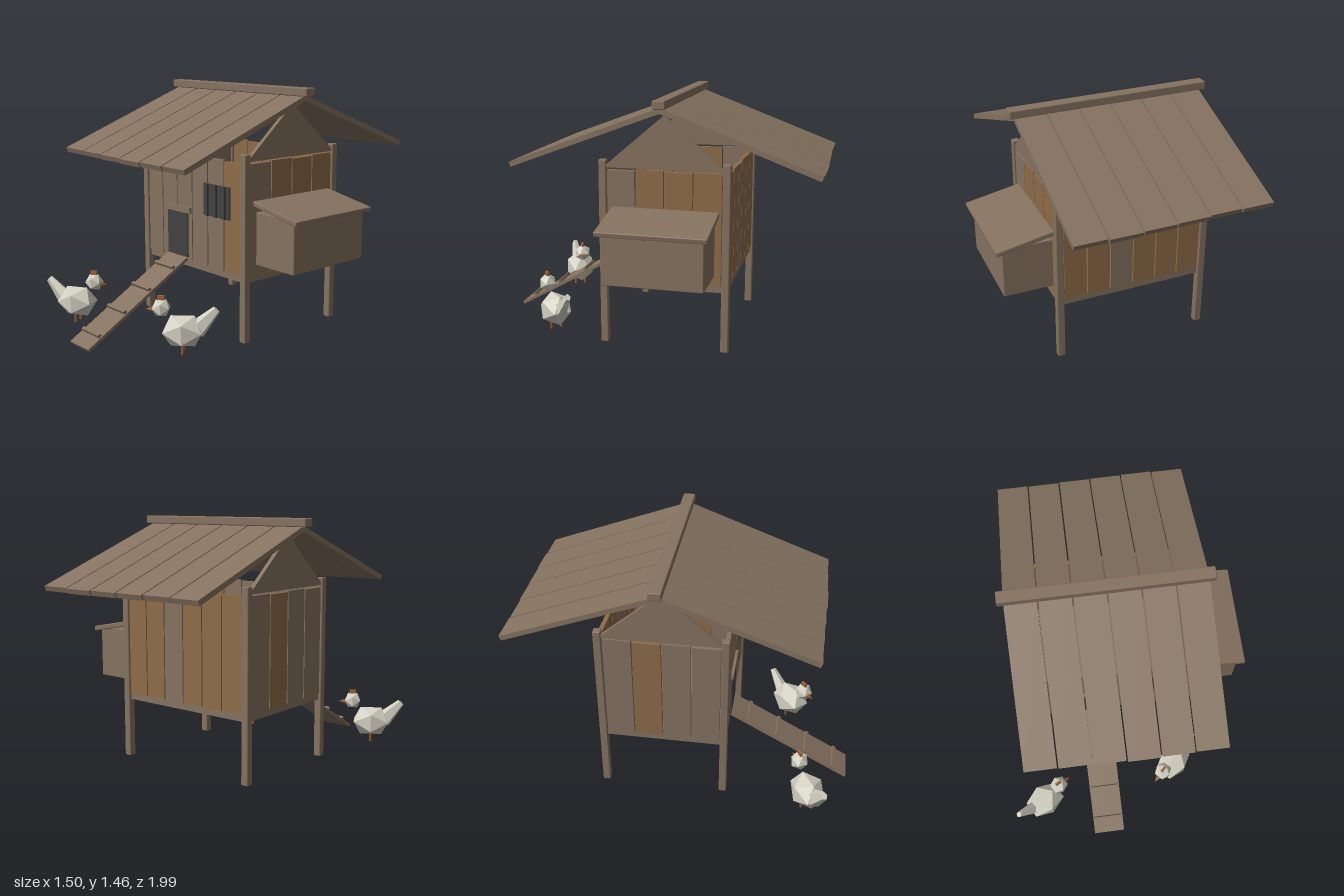
import * as THREE from 'three';
import { RoundedBoxGeometry } from 'three/addons/geometries/RoundedBoxGeometry.js';

const mat = (name, color) => {
  const m = new THREE.MeshStandardMaterial({ color });
  m.name = name;
  return m;
};

export function createModel() {
  const wood = mat('weathered wood', 0x857260);
  const tan = mat('tan wood', 0x8e6c48);
  const dark = mat('dark opening', 0x414141);
  const feather = mat('feathers', 0xd3d0c2);
  const orange = mat('beak and legs', 0x9a6238);

  const root = new THREE.Group();
  root.name = 'henHouse';
  const group = (name, parent = root) => {
    const g = new THREE.Group();
    g.name = name;
    parent.add(g);
    return g;
  };
  const add = (parent, name, geo, material, x = 0, y = 0, z = 0) => {
    const m = new THREE.Mesh(geo, material);
    m.name = name;
    m.position.set(x, y, z);
    parent.add(m);
    return m;
  };
  const box = (w, h, d) => new THREE.BoxGeometry(w, h, d);
  const bevelBox = (w, h, d) => new RoundedBoxGeometry(w, h, d, 1, 0.006);

  const CX = -0.05, CZ = -0.1;      // centre of the house
  const HX = 0.453, HZ = 0.358;     // half distances between posts

  // Corner posts
  for (const sx of [-1, 1]) for (const sz of [-1, 1])
    add(root, 'cornerPost', bevelBox(0.045, 1.095, 0.045), wood, CX + sx * HX, 0.563, CZ + sz * HZ);

  // Floor slab
  add(root, 'floor', box(2 * HX + 0.01, 0.042, 2 * HZ + 0.01), wood, CX, 0.391, CZ);

  // Plank walls: 1 marks a tan plank, listed along +x or +z
  const wall = (name, pattern, alongX, side) => {
    const g = group(name);
    const span = alongX ? 0.86 : 0.67, step = span / pattern.length;
    pattern.forEach((t, i) => {
      const u = -span / 2 + (i + 0.5) * step, w = step - 0.007;
      const h = 0.648 - 0.006 * (i % 2), y = 0.411 + h / 2;
      const m = t ? tan : wood;
      if (alongX) add(g, 'wallPlank', box(w, h, 0.025), m, CX + u, y, CZ + side * HZ);
      else add(g, 'wallPlank', box(0.025, h, w), m, CX + side * HX, y, CZ + u);
    });
  };
  wall('frontWall', [0, 0, 0, 0, 0, 1], true, 1);
  wall('backWall', [1, 1, 1, 0, 1, 1], true, -1);
  wall('rightWall', [1, 1, 1, 0], false, 1);
  wall('leftWall', [0, 1, 0, 0], false, -1);

  // Gables
  const tri = new THREE.Shape([[-0.355, 1.067], [0.355, 1.067], [0, 1.37]].map(p => new THREE.Vector2(...p)));
  for (const s of [-1, 1]) {
    const geo = new THREE.ExtrudeGeometry(tri, { depth: 0.025, bevelEnabled: false });
    geo.translate(0, 0, -0.0125);
    add(root, 'gable', geo, wood, CX + s * HX, 0, CZ).rotation.y = Math.PI / 2;
  }

  // Roof planks, slightly uneven in length
  const pitch = Math.atan2(0.33, 0.88);
  const jitter = [0, -0.004, 0.004, 0.008, 0.014, 0.006];
  for (const s of [-1, 1]) {
    const slope = group(s > 0 ? 'frontRoof' : 'backRoof');
    slope.position.set(CX, 1.407, CZ);
    slope.rotation.set(pitch * s, 0, 0);
    for (let i = 0; i < 6; i++) {
      const len = 0.936 + jitter[s > 0 ? (i * 5 + 1) % 6 : i] * 0.8;
      add(slope, 'roofPlank', box(0.182, 0.03, len), wood, -0.475 + i * 0.19, 0, s * len / 2);
    }
  }
  add(root, 'ridgeBeam', bevelBox(1.2, 0.048, 0.072), wood, CX, 1.441, CZ - 0.002);

  // Nest box with sloping lid
  add(root, 'nestBox', bevelBox(0.305, 0.31, 0.575), wood, 0.5585, 0.62, -0.105);
  add(root, 'nestLid', bevelBox(0.36, 0.03, 0.625), wood, 0.572, 0.796, -0.105).rotation.z = -0.19;

  // Doorway and lintel
  const front = CZ + HZ + 0.0125;
  add(root, 'doorway', box(0.19, 0.275, 0.009), dark, -0.183, 0.568, front + 0.004);
  add(root, 'doorLintel', box(0.25, 0.036, 0.02), wood, -0.183, 0.722, front + 0.006);

  // Barred window
  add(root, 'window', box(0.23, 0.19, 0.009), dark, 0.18, 0.815, front + 0.004);
  for (const x of [0.105, 0.18, 0.255])
    add(root, 'windowBar', box(0.012, 0.19, 0.016), dark, x, 0.815, front + 0.013);

  // Ramp with rungs
  const ramp = group('ramp');
  ramp.position.set(-0.184, 0.216, 0.638);
  ramp.rotation.x = Math.atan2(0.41, 0.72);
  add(ramp, 'rampBoard', box(0.19, 0.018, 0.826), wood);
  for (let i = 0; i < 4; i++)
    add(ramp, 'rampRung', box(0.174, 0.02, 0.02), wood, 0, 0.018, -0.305 + i * 0.205);

  // Hens, each modelled facing +x
  const hen = (x, z, yaw) => {
    const g = group('hen');
    g.position.set(x, 0, z);
    g.rotation.y = yaw;
    add(g, 'body', new THREE.IcosahedronGeometry(0.105, 0), feather, 0, 0.142, 0).scale.set(1.22, 1, 0.98);
    add(g, 'head', new THREE.IcosahedronGeometry(0.056, 0), feather, 0.12, 0.274, 0);
    const tailGeo = new THREE.CylinderGeometry(0.024, 0.058, 0.17, 5).toNonIndexed();
    tailGeo.computeVertexNormals();
    const tail = add(g, 'tail', tailGeo, feather, -0.132, 0.208, 0);
    tail.rotation.z = 0.75;
    tail.scale.z = 0.75;
    add(g, 'beak', new THREE.ConeGeometry(0.018, 0.045, 4), orange, 0.185, 0.266, 0).rotation.z = -Math.PI / 2;
    add(g, 'comb', box(0.04, 0.032, 0.014), orange, 0.12, 0.328, 0);
    for (const s of [-1, 1])
      add(g, 'leg', new THREE.CylinderGeometry(0.008, 0.008, 0.07, 5), orange, 0, 0.05, s * 0.032);
  };
  hen(-0.573, 0.765, 0.52);
  hen(0.285, 0.618, Math.PI + 0.77);

  return root;
}
